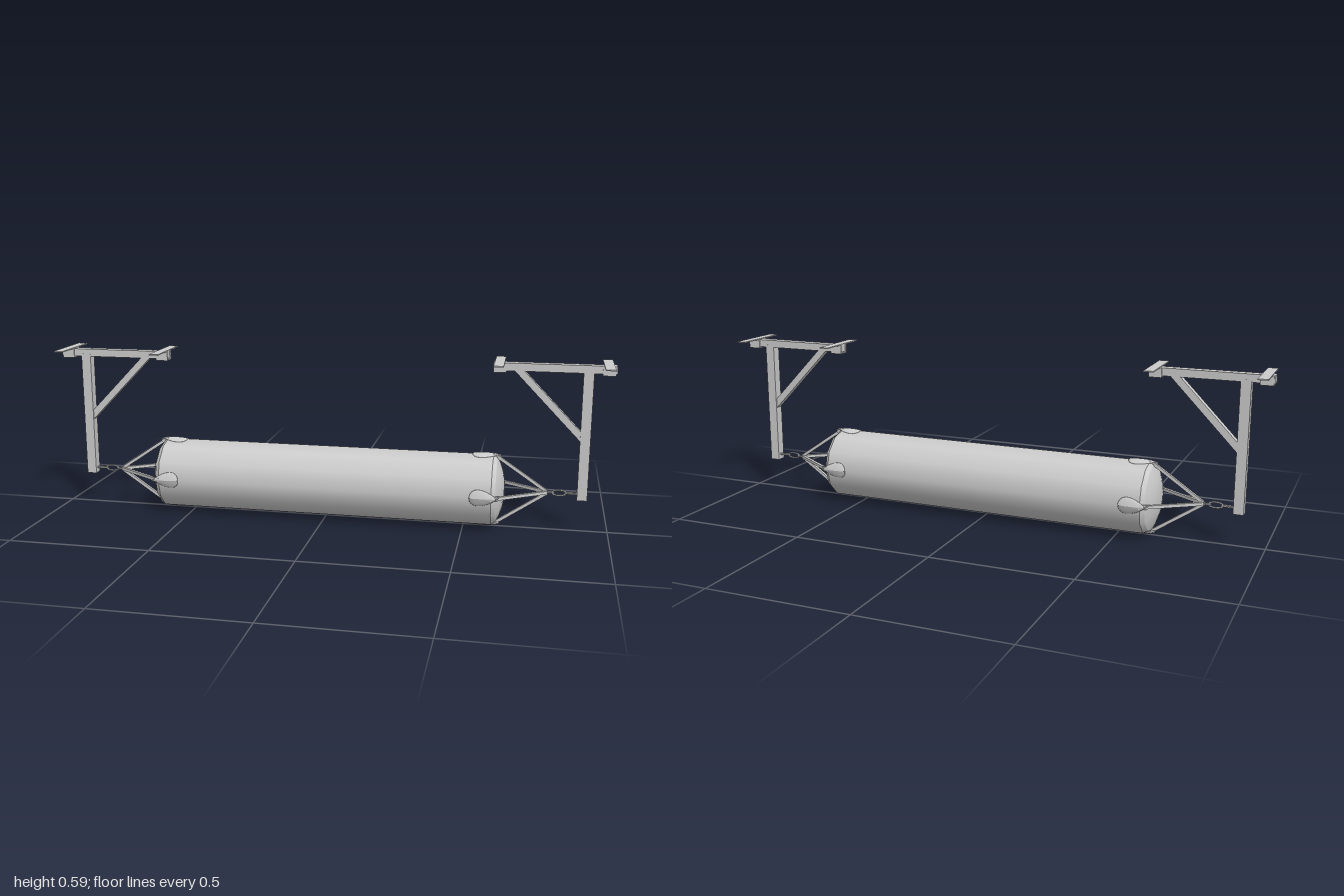
import * as THREE from 'three';

const CY = 0.133; // height of the bag axis
const R = 0.128;  // bag radius
const mat = new THREE.MeshStandardMaterial({ color: 0xcccccc });
const V = (x, y, z = 0) => new THREE.Vector3(x, y, z);

function add(parent, name, geometry, x = 0, y = 0, z = 0) {
  const mesh = new THREE.Mesh(geometry, mat);
  mesh.name = name;
  mesh.position.set(x, y, z);
  parent.add(mesh);
  return mesh;
}

// Box given by its limits in x and y, centred on z
function block(parent, name, x0, x1, y0, y1, depth) {
  return add(parent, name, new THREE.BoxGeometry(x1 - x0, y1 - y0, depth), (x0 + x1) / 2, (y0 + y1) / 2, 0);
}

// Square bar between two points
function bar(parent, name, a, b, height, depth) {
  const mesh = add(parent, name, new THREE.BoxGeometry(a.distanceTo(b), height, depth));
  mesh.position.copy(a).lerp(b, 0.5);
  mesh.quaternion.setFromUnitVectors(V(1, 0), b.clone().sub(a).normalize());
  return mesh;
}

// Twelve-sided surface turned about the x axis; points are [radius, x]
function turned(points) {
  const g = new THREE.LatheGeometry(points.map(([r, x]) => new THREE.Vector2(r, x)), 12);
  return g.rotateZ(-Math.PI / 2);
}

// Teardrop pad that follows the two facets meeting at the top of the bag
function padGeometry() {
  const g = new THREE.SphereGeometry(1, 20, 12);
  const p = g.attributes.position;
  for (let i = 0; i < p.count; i++) {
    const a = p.getX(i), h = p.getY(i);
    const w = p.getZ(i) * (0.027 - 0.012 * a);
    p.setXYZ(i, 0.571 + 0.046 * a, R + 0.006 * h - 0.268 * Math.abs(w), w);
  }
  g.computeVertexNormals();
  return g;
}

// Oval chain link in the xy plane
function link(parent, x0, x1, height, flat) {
  const half = (x1 - x0) / 2, tube = 0.0032;
  const points = [];
  for (let i = 0; i < 16; i++) {
    const t = (i / 16) * Math.PI * 2;
    points.push(V((half - tube) * Math.cos(t), (height / 2 - tube) * Math.sin(t)));
  }
  const curve = new THREE.CatmullRomCurve3(points, true);
  const mesh = add(parent, 'chainLink', new THREE.TubeGeometry(curve, 24, tube, 6, true), (x0 + x1) / 2, CY, 0);
  if (flat) mesh.rotation.x = Math.PI / 2;
}

// U-shaped clamp hugging the beam
function clampGeometry(length) {
  const s = new THREE.Shape();
  [[-0.021, 0.588], [-0.021, 0.555], [0.021, 0.555], [0.021, 0.588], [0.017, 0.588],
    [0.017, 0.559], [-0.017, 0.559], [-0.017, 0.588]]
    .forEach(([x, y], i) => (i ? s.lineTo(x, y) : s.moveTo(x, y)));
  s.closePath();
  return new THREE.ExtrudeGeometry(s, { depth: length, bevelEnabled: false }).rotateY(Math.PI / 2);
}

// Hanging bracket: post, beam, brace, clamps and mounting plates
function bracket() {
  const g = new THREE.Group();
  g.name = 'bracket';
  block(g, 'beam', 0.592, 1, 0.561, 0.588, 0.033);
  block(g, 'post', 0.89, 0.925, 0.113, 0.57, 0.034);
  bar(g, 'brace', V(0.9, 0.33), V(0.665, 0.573), 0.024, 0.026);
  for (const x of [0.588, 0.952]) {
    add(g, 'clamp', clampGeometry(0.044), x, 0, 0);
    block(g, 'mountingPlate', x + 0.004, x + 0.038, 0.587, 0.591, 0.216);
  }
  return g;
}

// Four pads and straps gathered to a chain
function harness() {
  const g = new THREE.Group();
  g.name = 'harness';
  const pad = padGeometry();
  for (let i = 0; i < 4; i++) {
    const arm = new THREE.Group();
    arm.name = 'strapAssembly';
    arm.position.y = CY;
    arm.rotation.x = (i * Math.PI) / 2;
    add(arm, 'strapPad', pad);
    bar(arm, 'padTab', V(0.597, 0.129), V(0.624, 0.119), 0.006, 0.016);
    bar(arm, 'strap', V(0.614, 0.12), V(0.787, 0.003), 0.011, 0.011);
    const ring = add(arm, 'strapRing', new THREE.TorusGeometry(0.008, 0.0025, 6, 12), 0.619, 0.119, 0);
    ring.rotation.y = Math.PI / 5;
    g.add(arm);
  }
  link(g, 0.772, 0.815, 0.018, true);
  link(g, 0.802, 0.858, 0.026, false);
  link(g, 0.846, 0.896, 0.02, true);
  return g;
}

export function createModel() {
  const model = new THREE.Group();
  model.name = 'hangingBag';

  // Bag: body, bevelled rims and domed ends
  add(model, 'bagBody', turned([[R, -0.6], [R, 0.6]]), 0, CY, 0);

  for (const side of [0, 1]) {
    const end = new THREE.Group();
    end.name = side ? 'rightEnd' : 'leftEnd';
    add(end, 'bagRim', turned([[R, 0.6], [0.118, 0.614]]), 0, CY, 0);
    add(end, 'bagDome', turned([[0.118, 0.614], [0.094, 0.626], [0.062, 0.636], [0.03, 0.641], [0, 0.642]]), 0, CY, 0);
    end.add(harness(), bracket());
    end.rotation.y = side * Math.PI;
    model.add(end);
  }
  return model;
}
